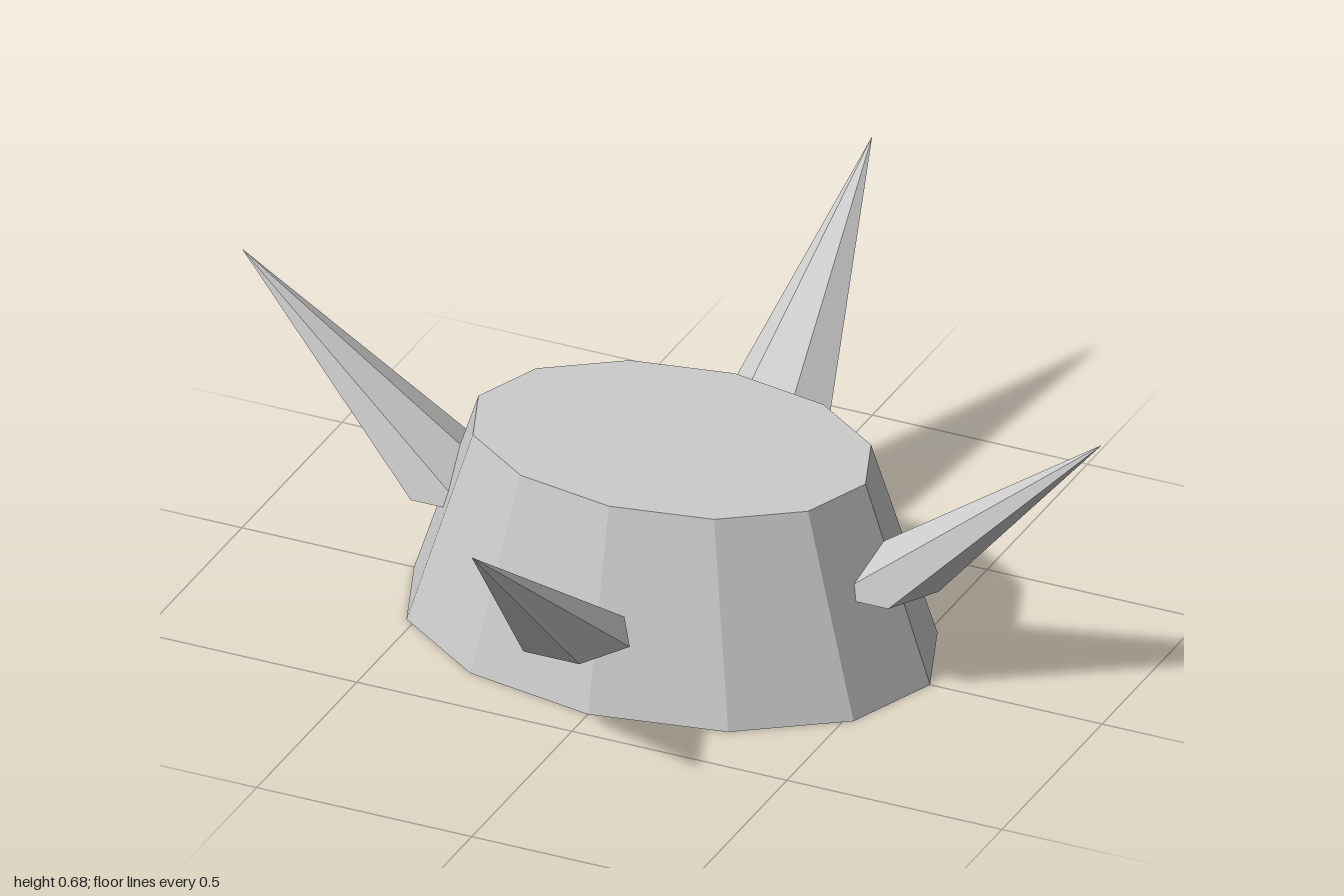
import * as THREE from 'three';

const material = new THREE.MeshStandardMaterial({ color: 0xcccccc, flatShading: true });

// Six-sided spike with a level base, its tip leaning outward by (leanX, leanZ)
function makeSpike(name, dirX, dirZ) {
  const height = 0.445, lean = 0.51, baseDistance = 0.49;
  const geometry = new THREE.ConeGeometry(0.13, height, 6, 1, false, Math.PI / 2);
  geometry.translate(0, height / 2, 0);
  const kx = dirX * lean / height, kz = dirZ * lean / height;
  geometry.applyMatrix4(new THREE.Matrix4().set(
    1, kx, 0, 0,
    0, 1, 0, 0,
    0, kz, 1, 0,
    0, 0, 0, 1
  ));
  geometry.computeVertexNormals();
  const spike = new THREE.Mesh(geometry, material);
  spike.name = name;
  spike.position.set(dirX * baseDistance, 0.23, dirZ * baseDistance);
  return spike;
}

export function createModel() {
  const model = new THREE.Group();
  model.name = 'spikedBase';

  // Oval twelve-sided body, narrower at the top
  const bodyGeometry = new THREE.CylinderGeometry(0.45, 0.6, 0.45, 12);
  bodyGeometry.scale(1, 1, 0.7);
  bodyGeometry.translate(0, 0.225, 0);
  const body = new THREE.Mesh(bodyGeometry, material);
  body.name = 'body';
  model.add(body);

  // One spike on each side
  const spikes = [
    ['leftSpike', 1, 0],
    ['rightSpike', -1, 0],
    ['frontSpike', 0, 1],
    ['backSpike', 0, -1],
  ];
  for (const [name, x, z] of spikes) model.add(makeSpike(name, x, z));

  return model;
}
